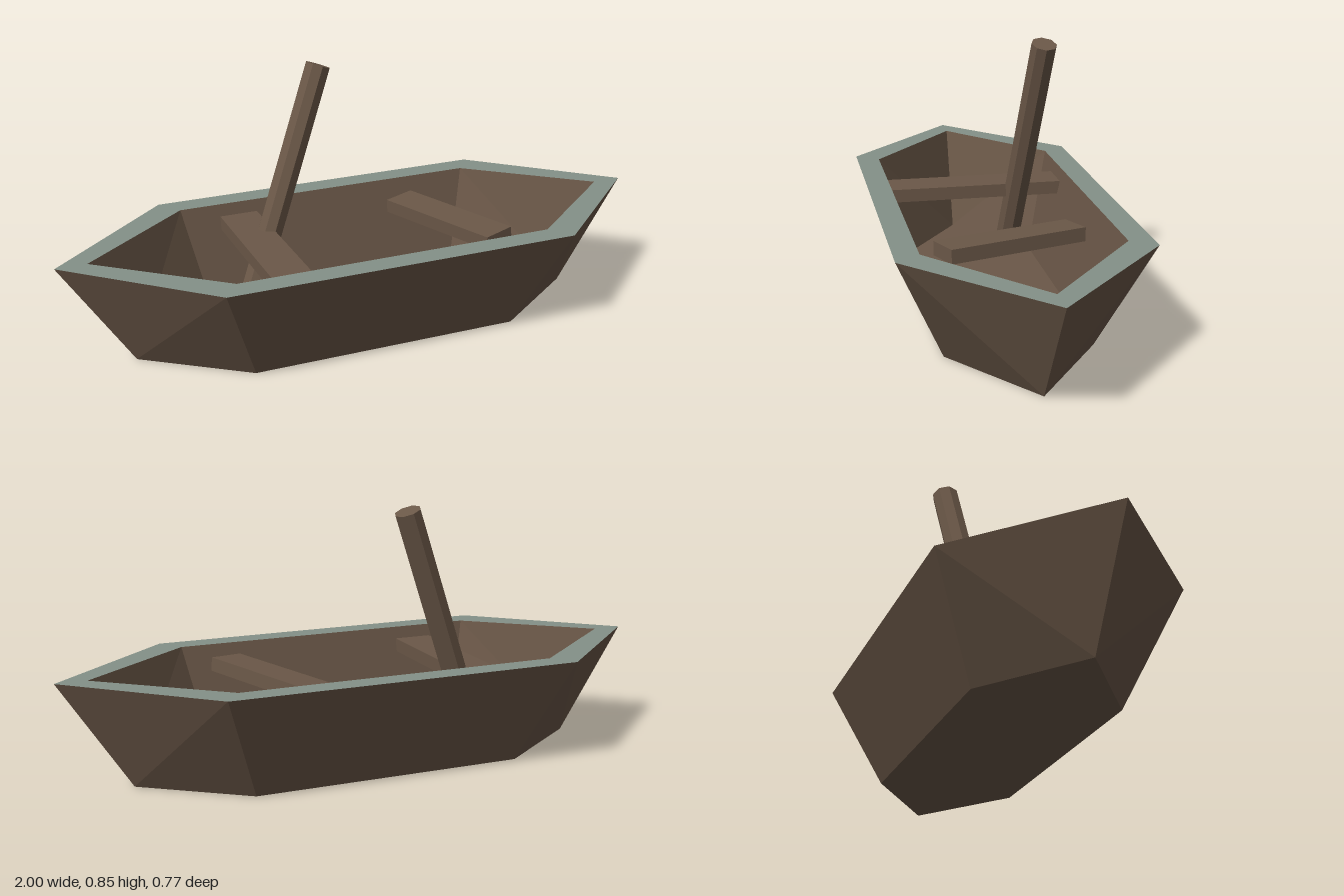
import * as THREE from 'three';

const wood = new THREE.MeshStandardMaterial({ color: 0x6b5848, flatShading: true });
const trim = new THREE.MeshStandardMaterial({ color: 0x849188, flatShading: true });

// Six-sided boat outline, counter-clockwise from above; even steps of 3 are the pointed tips
function ring(tip, shoulder, half, y) {
  return [[tip, 0], [shoulder, -half], [-shoulder, -half], [-tip, 0], [-shoulder, half], [shoulder, half]]
    .map(([x, z]) => new THREE.Vector3(x, y, z));
}

// Wall between two outlines; the folds run from each lower tip to the upper shoulders
function wall(a, b, descending = false) {
  const tris = [];
  for (let i = 0; i < 6; i++) {
    const j = (i + 1) % 6;
    const fromTip = (i % 3 === 0) !== descending;
    if (fromTip) tris.push(a[i], a[j], b[j], a[i], b[j], b[i]);
    else tris.push(a[i], a[j], b[i], a[j], b[j], b[i]);
  }
  return tris;
}

// Flat fill of one outline, facing up or down
function cap(r, up) {
  const tris = [];
  for (let i = 1; i < 5; i++) tris.push(r[0], ...(up ? [r[i], r[i + 1]] : [r[i + 1], r[i]]));
  return tris;
}

function add(group, name, geometry, material) {
  const mesh = new THREE.Mesh(geometry, material);
  mesh.name = name;
  group.add(mesh);
  return mesh;
}

function surface(points) {
  const g = new THREE.BufferGeometry().setFromPoints(points);
  g.computeVertexNormals();
  return g;
}

export function createModel() {
  const boat = new THREE.Group();
  boat.name = 'rowingBoat';

  const keel = ring(0.77, 0.45, 0.232, 0);
  const outerTop = ring(1, 0.58, 0.387, 0.355);
  const innerTop = ring(0.9, 0.525, 0.31, 0.355);
  const floor = ring(0.77, 0.45, 0.232, 0.006);

  // Hull shell, inside and rim
  add(boat, 'hull', surface([...wall(keel, outerTop), ...cap(keel, false)]), wood);
  add(boat, 'interior', surface([...wall(innerTop, floor, true), ...cap(floor, true)]), wood);
  add(boat, 'rim', surface(wall(outerTop, innerTop)), trim);

  // Fixed bench across the hull
  const bench = add(boat, 'bench', new THREE.BoxGeometry(0.13, 0.045, 0.6), wood);
  bench.position.set(-0.325, 0.292, 0);

  // Loose bench, knocked askew
  const loose = add(boat, 'looseBench', new THREE.BoxGeometry(0.115, 0.045, 0.475), wood);
  loose.position.set(0.32, 0.306, 0);
  loose.rotation.set(-0.02, 0.335, 0.05, 'YXZ');

  // Leaning post
  const foot = new THREE.Vector3(-0.355, 0.05, -0.125);
  const head = new THREE.Vector3(-0.07, 0.84, -0.192);
  const axis = head.clone().sub(foot);
  const post = add(boat, 'post', new THREE.CylinderGeometry(0.043, 0.043, axis.length(), 8), wood);
  post.position.copy(foot).add(head).multiplyScalar(0.5);
  post.quaternion.setFromUnitVectors(new THREE.Vector3(0, 1, 0), axis.normalize());

  return boat;
}
